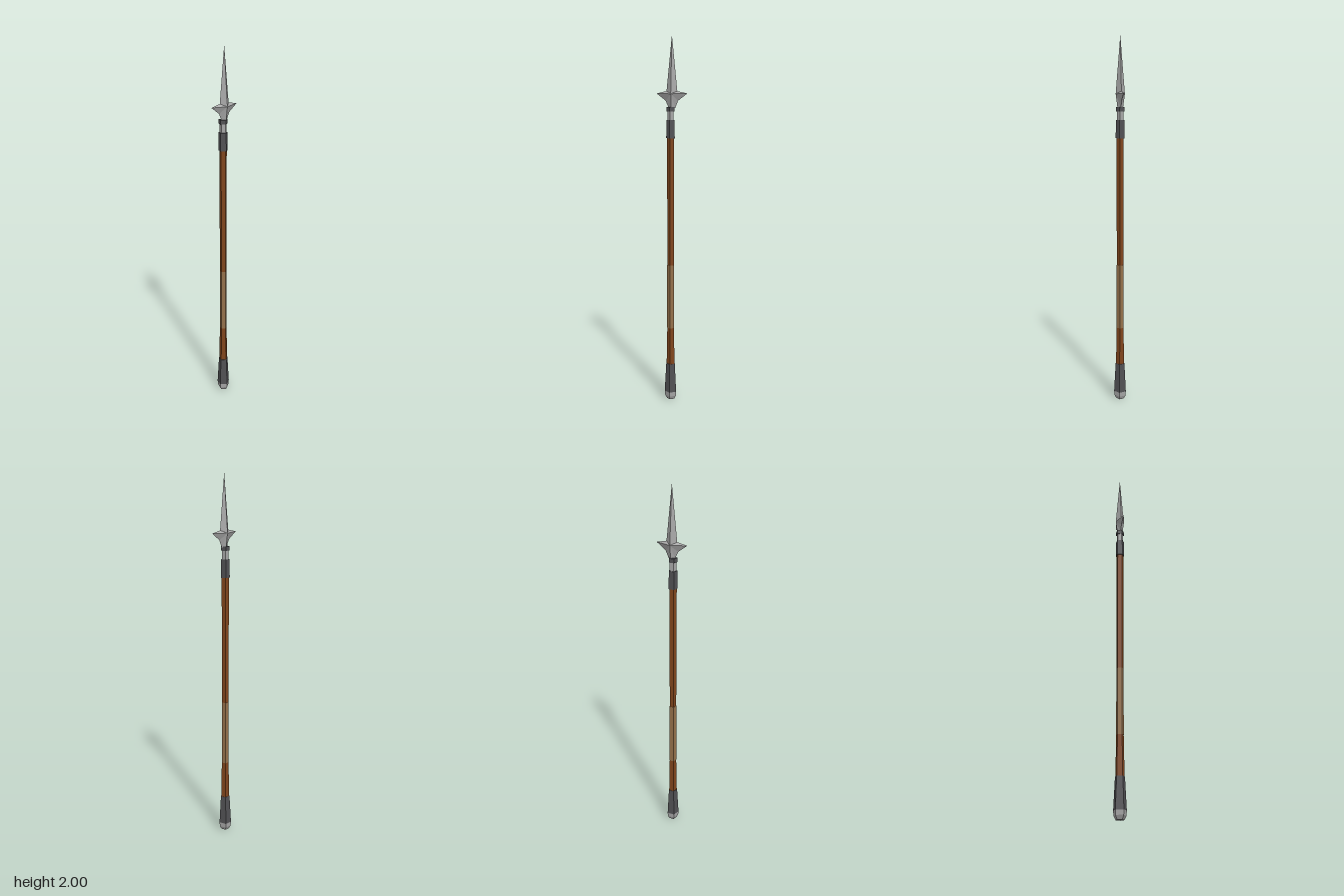
import * as THREE from 'three';

const mat = (color) => new THREE.MeshStandardMaterial({ color, flatShading: true });

const STEEL = mat(0xa6a6a6);
const IRON = mat(0x505053);
const WOOD = mat(0x80451c);
const WRAP = mat(0x94704a);

// Five-sided pole sections: name, bottom y, top y, bottom radius, top radius, material
const SECTIONS = [
  ['buttTip', 0, 0.02, 0.022, 0.033, STEEL],
  ['buttBand', 0.02, 0.045, 0.033, 0.035, STEEL],
  ['buttCap', 0.045, 0.21, 0.035, 0.026, IRON],
  ['lowerShaft', 0.21, 0.42, 0.024, 0.02, WOOD],
  ['gripWrap', 0.42, 0.78, 0.0205, 0.02, WRAP],
  ['upperShaft', 0.78, 1.47, 0.019, 0.02, WOOD],
  ['collar', 1.47, 1.565, 0.0245, 0.0235, IRON],
  ['neck', 1.565, 1.61, 0.018, 0.018, STEEL],
  ['neckRing', 1.61, 1.632, 0.0235, 0.0235, IRON],
];

// Diamond-section spearhead: an outline fanned to a raised ridge on each face
function spearheadGeometry() {
  const half = [[0.018, 1.628], [0.034, 1.665], [0.083, 1.702], [0.029, 1.714]];
  const outline = [
    ...half,
    [0, 1.998],
    ...half.map(([x, y]) => [-x, y]).reverse(),
  ];
  const ridgeY = 1.7, ridgeZ = 0.0245, footY = 1.628, footZ = 0.015;
  const pos = [];
  const tri = (s, a, b, c) => pos.push(...a, ...(s > 0 ? b : c), ...(s > 0 ? c : b));
  for (const s of [1, -1]) {
    const ridge = [0, ridgeY, s * ridgeZ];
    const foot = [0, footY, s * footZ];
    const pts = outline.map(([x, y]) => [x, y, 0]);
    for (let i = 0; i < pts.length - 1; i++) tri(s, ridge, pts[i], pts[i + 1]);
    // lower faces running down to the neck, and the underside
    const right = pts[0], left = pts[pts.length - 1];
    tri(s, ridge, foot, right);
    tri(s, ridge, left, foot);
    tri(s, foot, left, right);
  }
  const g = new THREE.BufferGeometry();
  g.setAttribute('position', new THREE.Float32BufferAttribute(pos, 3));
  g.computeVertexNormals();
  return g;
}

export function createModel() {
  const group = new THREE.Group();
  group.name = 'spear';

  // Pole, one vertex of the pentagon facing forward
  const pole = new THREE.Group();
  pole.name = 'pole';
  for (const [name, y0, y1, r0, r1, material] of SECTIONS) {
    const mesh = new THREE.Mesh(new THREE.CylinderGeometry(r1, r0, y1 - y0, 5), material);
    mesh.name = name;
    mesh.position.y = (y0 + y1) / 2;
    pole.add(mesh);
  }
  pole.position.set(-0.006, 0, -0.005);
  group.add(pole);

  // Winged blade
  const head = new THREE.Mesh(spearheadGeometry(), STEEL);
  head.name = 'spearhead';
  head.position.z = -0.004;
  group.add(head);

  return group;
}
